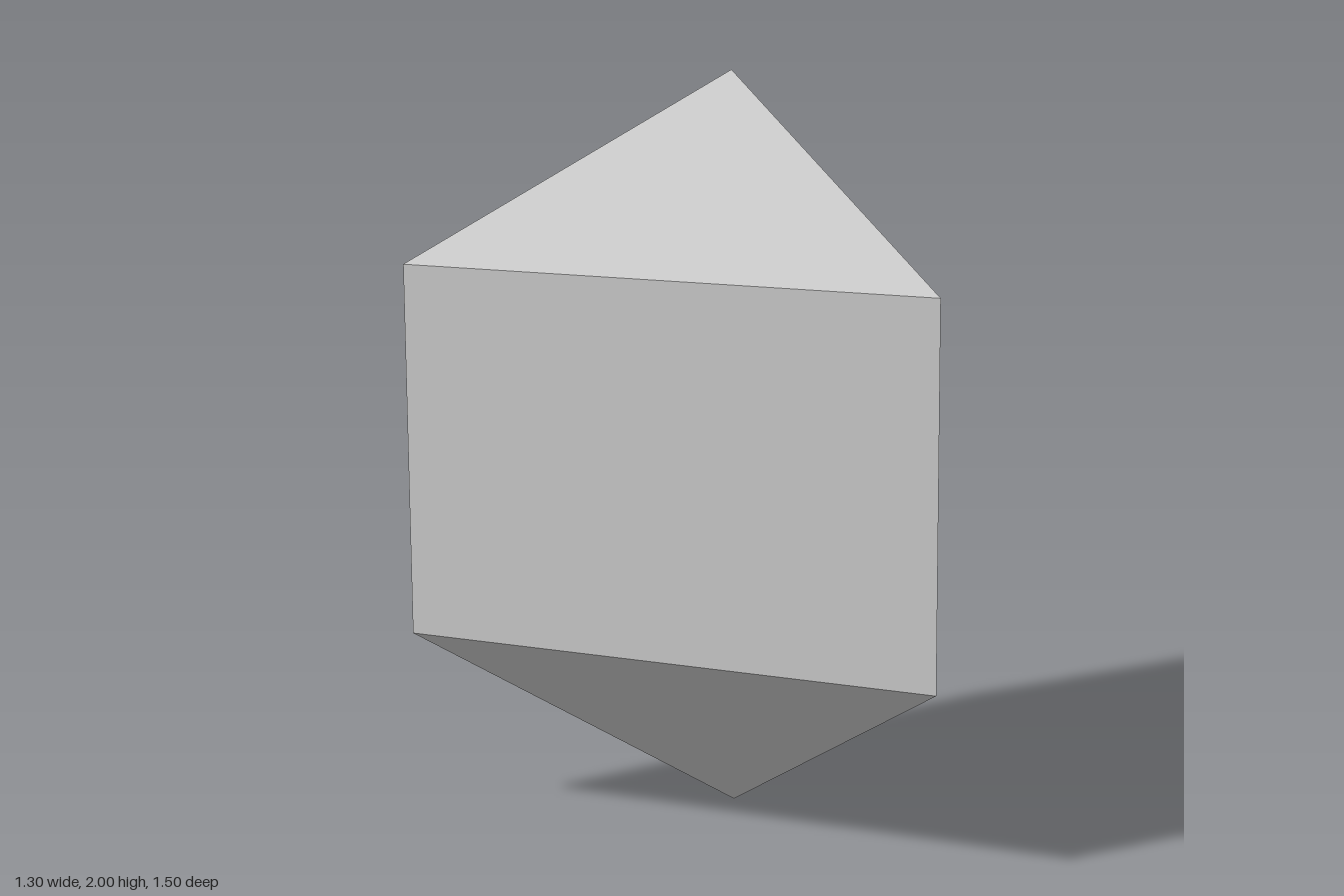
import * as THREE from 'three';

const RADIUS = 0.866; // triangle circumradius, giving sides of 1.5
const CENTER_X = -RADIUS / 4; // centres the bounding box on x = 0

export function createModel() {
  const group = new THREE.Group();
  group.name = 'elongatedTriangularBipyramid';
  const material = new THREE.MeshStandardMaterial({ color: 0xcccccc, flatShading: true });

  // Open three-sided section with one corner pointing to +x
  function addSection(name, topRadius, bottomRadius, height, baseY) {
    const smooth = new THREE.CylinderGeometry(
      topRadius, bottomRadius, height, 3, 1, true, Math.PI / 2);
    const geometry = smooth.toNonIndexed();
    geometry.computeVertexNormals();
    const mesh = new THREE.Mesh(geometry, material);
    mesh.name = name;
    mesh.position.set(CENTER_X, baseY + height / 2, 0);
    group.add(mesh);
  }

  addSection('bottomPyramid', RADIUS, 0, 0.5, 0);
  addSection('prismBody', RADIUS, RADIUS, 1, 0.5);
  addSection('topPyramid', 0, RADIUS, 0.5, 1.5);

  return group;
}
